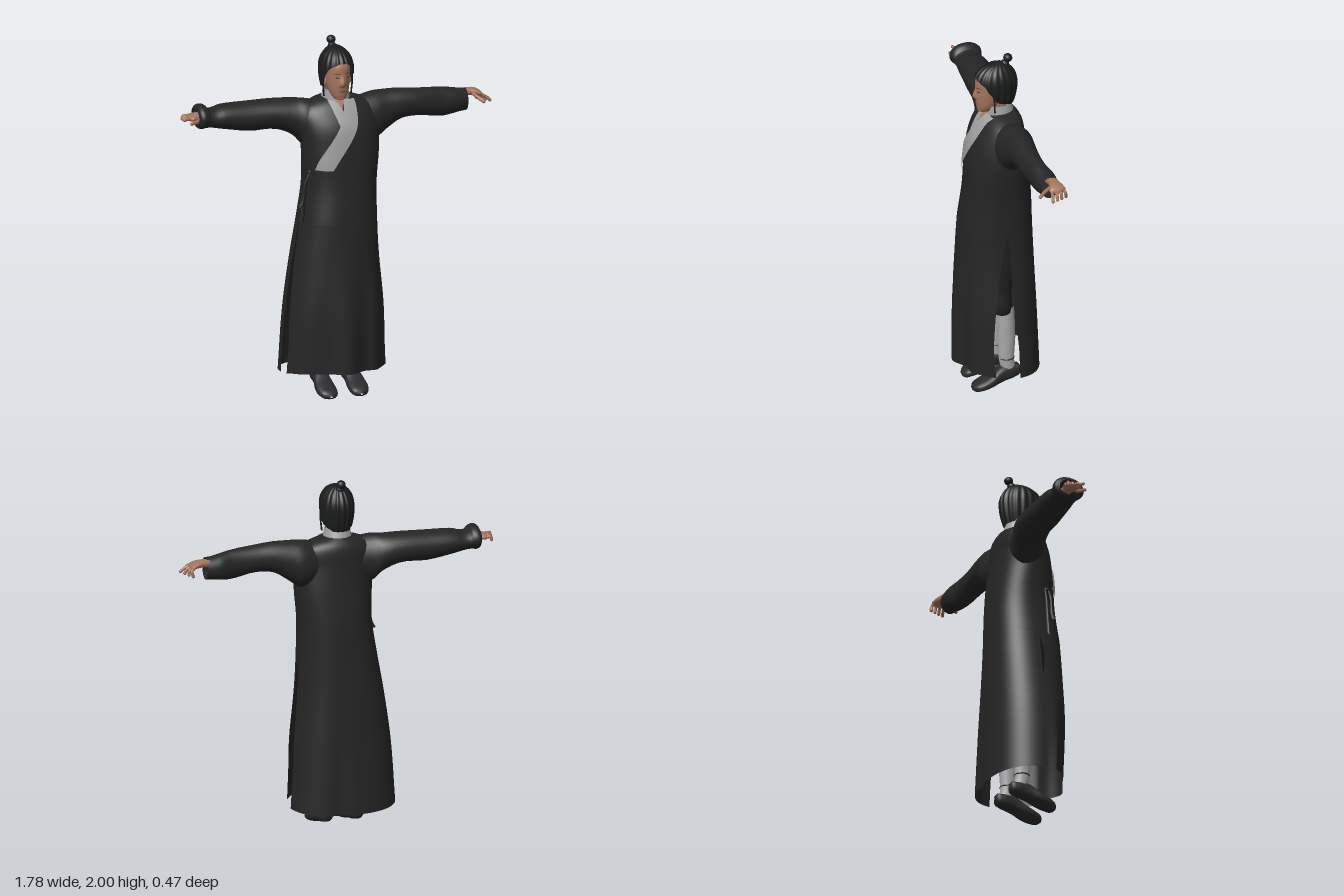
import * as THREE from 'three';
import { mergeVertices } from 'three/addons/utils/BufferGeometryUtils.js';

const mat = (name, color, side = THREE.FrontSide) => {
  const m = new THREE.MeshStandardMaterial({ color, side });
  m.name = name;
  return m;
};
const { sin, cos, abs, sign, PI, max, min, exp, sqrt } = Math;
const { smoothstep } = THREE.MathUtils;

// Smooth surface from a function of u, v in 0..1
function surf(nu, nv, f) {
  const pos = [], idx = [];
  for (let j = 0; j <= nv; j++) for (let i = 0; i <= nu; i++) pos.push(...f(i / nu, j / nv));
  for (let j = 0; j < nv; j++) for (let i = 0; i < nu; i++) {
    const a = j * (nu + 1) + i, b = a + 1, c = a + nu + 1, d = c + 1;
    idx.push(a, b, d, a, d, c);
  }
  let g = new THREE.BufferGeometry();
  g.setAttribute('position', new THREE.Float32BufferAttribute(pos, 3));
  g.setIndex(idx);
  g = mergeVertices(g, 1e-5);
  g.computeVertexNormals();
  return g;
}

// Cubic blend between cross-section rows [p, centre1, radius1, centre2, radius2]
function profile(rows) {
  const it = new THREE.CubicInterpolant(rows.map(r => r[0]), rows.flatMap(r => r.slice(1)), 4, new Float32Array(4));
  return p => it.evaluate(p);
}
const bend = (t, pow) => sign(t) * abs(t) ** (2 / pow);

// Closed tube along an axis; rows run upwards along it
function tube(axis, rows, pow = 2, nu = 28, sub = 4) {
  const at = profile(rows), n = (rows.length - 1) * sub;
  return surf(nu, n, (u, v) => {
    const i = min(rows.length - 2, Math.floor(v * (rows.length - 1) + 1e-9));
    const p = rows[i][0] + (rows[i + 1][0] - rows[i][0]) * (v * (rows.length - 1) - i);
    const [c1, r1, c2, r2] = at(p), a = u * PI * 2;
    const s = c1 + max(r1, 0) * bend(sin(a), pow), t = c2 + max(r2, 0) * bend(cos(a), pow);
    return axis === 'y' ? [s, p, t] : axis === 'x' ? [p, t, s] : [t, s, p];
  });
}

// Thin patch between two edges, laid on the front of a vertical tube
function patch(rows, powAt, edgeA, edgeB, lift) {
  const at = profile(rows);
  const [A, B] = [edgeA, edgeB].map(e => new THREE.CatmullRomCurve3(e.map(p => new THREE.Vector3(...p, 0))));
  return surf(8, 24, (u, v) => {
    const p = A.getPoint(v).lerp(B.getPoint(v), u), [cx, rx, cz, rz] = at(p.y), pow = powAt(p.y);
    const k = min(1, abs((p.x - cx) / rx));
    return [p.x, p.y, cz + rz * (1 - k ** pow) ** (1 / pow) + lift];
  });
}

const ROBE = [
  [0.15, -0.042, 0.302, 0.002, 0.234], [0.5, -0.042, 0.277, 0.004, 0.226], [0.8, -0.035, 0.24, -0.002, 0.208],
  [1.0, -0.022, 0.217, -0.005, 0.195], [1.2, -0.007, 0.203, -0.01, 0.179], [1.4, -0.002, 0.215, -0.007, 0.161],
  [1.53, -0.01, 0.222, -0.012, 0.144], [1.6, -0.015, 0.22, -0.028, 0.124], [1.64, -0.015, 0.185, -0.036, 0.105],
  [1.665, -0.018, 0.12, -0.04, 0.084], [1.68, -0.02, 0.062, -0.042, 0.062]];
const robePow = y => 2.4 - 0.45 * smoothstep(y, 1.3, 1.6);
const HEAD = [
  [1.672, -0.025, 0.005, 0.05, 0.005], [1.678, -0.025, 0.025, 0.05, 0.035], [1.69, -0.025, 0.037, 0.046, 0.046],
  [1.72, -0.025, 0.052, 0.03, 0.068], [1.76, -0.025, 0.062, 0.01, 0.092], [1.82, -0.025, 0.068, -0.005, 0.107],
  [1.87, -0.025, 0.069, -0.01, 0.106], [1.895, -0.025, 0.062, -0.015, 0.092], [1.92, -0.025, 0.04, -0.02, 0.06],
  [1.93, -0.025, 0.01, -0.02, 0.01]];
const headPow = () => 2.2;

// Face with a nose drawn out of the front
function faceGeometry() {
  const g = tube('y', HEAD, headPow(), 72, 6), p = g.attributes.position;
  for (let i = 0; i < p.count; i++) if (p.getZ(i) > 0.04) {
    const y = p.getY(i), w = 0.009 + 0.006 * smoothstep(1.82 - y, 0, 0.05);
    const h = 0.019 * smoothstep(y, 1.75, 1.768) * (1 - smoothstep(y, 1.768, 1.83));
    p.setZ(i, p.getZ(i) + h * exp(-(((p.getX(i) + 0.025) / w) ** 2)));
  }
  g.computeVertexNormals();
  return g;
}

export function createModel() {
  const root = new THREE.Group();
  const D = THREE.DoubleSide;
  const robeM = mat('robe black', 0x252525, D), collarM = mat('collar grey', 0x9d9d9d, D);
  const skin = mat('skin', 0xa4745c, D), hairM = mat('hair', 0x1b1c1c, D);
  const shoeM = mat('shoe charcoal', 0x2a2a2c), legM = mat('legging pale grey', 0xaaaaaa);
  const trouserM = mat('trouser black', 0x212121), lipM = mat('lip', 0x8a5646, D);
  const add = (name, geo, m, parent = root) => {
    const mesh = new THREE.Mesh(geo, m);
    mesh.name = name;
    parent.add(mesh);
    return mesh;
  };
  const ball = (name, r, p, s, m, parent) => {
    const b = add(name, new THREE.SphereGeometry(r, 16, 12), m, parent);
    b.position.set(...p);
    b.scale.set(...s);
  };
  const cord = (name, pts, r, m, parent) => add(name, new THREE.TubeGeometry(
    new THREE.CatmullRomCurve3(pts.map(p => new THREE.Vector3(...p))), 12, r, 8), m, parent);

  // Robe: closed body, then front and back skirt panels with side slits
  const robeAt = profile(ROBE);
  const robePoint = (a, y) => {
    const [cx, rx, cz, rz] = robeAt(y), k = max(0, (1 - y) / 0.85), c = cos(a), pow = robePow(y);
    const x = cx + rx * bend(sin(a), pow);
    let z = cz + rz * bend(c, pow);
    const bump = (m, w) => exp(-(((x - m) / w) ** 2));
    if (c > 0) z += k * min(1, c * 2) * (0.03 * bump(0.14, 0.05) - 0.055 * (1 - bump(-0.03, 0.08)));
    else z += k * min(1, -c * 2) * (0.012 * bump(0.02, 0.04) - 0.006);
    return [x, y + 0.015 * k * c, z];
  };
  add('robeBody', surf(64, 40, (u, v) => robePoint(u * PI * 2, 1 + 0.68 * v)), robeM);
  const panel = (name, mid, gapStart, gapEnd) => add(name, surf(48, 24, (u, v) => {
    const g = min(1, (1 - v) * 1.25);
    const a0 = mid - PI / 2 + gapStart * g, a1 = mid + PI / 2 - gapEnd * g;
    return robePoint(a0 + (a1 - a0) * u, 0.145 + 0.855 * v);
  }), robeM);
  panel('skirtFront', 0, 0.3, 0.46);
  panel('skirtBack', PI, 0.19, 0.02);

  // Sleeves
  add('rightSleeve', tube('x', [
    [-0.805, -0.1, 0.065, 1.61, 0.045], [-0.795, -0.1, 0.085, 1.61, 0.062], [-0.755, -0.1, 0.085, 1.61, 0.064],
    [-0.735, -0.1, 0.078, 1.6, 0.054], [-0.65, -0.1, 0.085, 1.598, 0.068], [-0.5, -0.095, 0.09, 1.588, 0.083],
    [-0.35, -0.085, 0.095, 1.588, 0.085], [-0.25, -0.07, 0.1, 1.564, 0.106], [-0.2, -0.05, 0.1, 1.537, 0.132],
    [-0.1, -0.035, 0.09, 1.54, 0.11]]), robeM);
  add('leftSleeve', tube('x', [
    [0.1, -0.035, 0.09, 1.54, 0.11], [0.2, -0.045, 0.105, 1.537, 0.133], [0.27, -0.045, 0.09, 1.562, 0.111],
    [0.35, -0.04, 0.077, 1.587, 0.086], [0.45, -0.036, 0.068, 1.588, 0.076], [0.6, -0.047, 0.057, 1.571, 0.081],
    [0.66, -0.055, 0.064, 1.568, 0.073], [0.7, -0.058, 0.06, 1.567, 0.066], [0.745, -0.06, 0.05, 1.567, 0.062]]), robeM);

  // Crossed collar and neckline
  add('neckSkin', patch(ROBE, robePow, [[-0.065, 1.678], [-0.025, 1.62]], [[0.015, 1.678], [-0.025, 1.62]], 0.003), skin);
  add('rightLapel', patch(ROBE, robePow, [[-0.045, 1.53], [-0.068, 1.6], [-0.088, 1.668]],
    [[0, 1.57], [-0.022, 1.625], [-0.055, 1.675]], 0.005), collarM);
  add('crossBand', patch(ROBE, robePow, [[-0.185, 1.3], [-0.165, 1.36], [-0.034, 1.57], [0, 1.672]],
    [[-0.1, 1.3], [-0.068, 1.35], [0.048, 1.53], [0.066, 1.664]], 0.0095), collarM);
  add('neckCollar', surf(32, 6, (u, v) => {
    const gap = 0.15 + 0.6 * v, a = gap + (2 * PI - 2 * gap) * u, r = 1 - 0.24 * v;
    return [-0.02 + 0.088 * r * sin(a), 1.635 + 0.085 * v, -0.035 + 0.012 * v + 0.09 * r * cos(a)];
  }), collarM);
  add('neck', tube('y', [[1.6, -0.02, 0.052, -0.03, 0.05], [1.74, -0.025, 0.05, -0.01, 0.055]]), skin);

  // Head and face
  const head = new THREE.Group();
  head.name = 'head';
  root.add(head);
  add('face', faceGeometry(), skin, head);
  for (const s of [-1, 1]) {
    const X = d => -0.025 + s * d;
    add('eye', patch(HEAD, headPow, [[X(0.015), 1.807], [X(0.028), 1.805], [X(0.041), 1.808]],
      [[X(0.015), 1.807], [X(0.028), 1.81], [X(0.041), 1.808]], 0.002), hairM, head);
    add('eyebrow', patch(HEAD, headPow, [[X(0.014), 1.825], [X(0.03), 1.829], [X(0.045), 1.824]],
      [[X(0.014), 1.828], [X(0.03), 1.832], [X(0.045), 1.825]], 0.002), hairM, head);
    ball('ear', 0.022, [X(0.07), 1.77, 0.012], [0.4, 1.1, 0.65], skin, head);
    cord('looseStrand', [[X(0.08), 1.83, 0.035], [X(0.084), 1.76, 0.022], [X(0.078), 1.69, 0.018]], 0.005, hairM, head);
  }
  add('lips', patch(HEAD, headPow, [[-0.045, 1.728], [-0.025, 1.722], [-0.005, 1.728]],
    [[-0.045, 1.728], [-0.025, 1.735], [-0.005, 1.728]], 0.003), lipM, head);

  // Ridged hair drawn up from the hairline, with a topknot
  add('hair', surf(144, 20, (u, v) => {
    const a = u * PI * 2, b = min(a, 2 * PI - a);
    const edge = 1.885 - 0.02 * smoothstep(b, 0.15, 0.75) - 0.123 * smoothstep(b, 0.65, 1.65) - 0.03 * smoothstep(b, 1.6, 2.6);
    const y = edge + (1.96 - edge) * sin(v * PI / 2), d = y - 1.84;
    const f = d > 0 ? sqrt(max(0, 1 - (d / 0.12) ** 2)) : 1 - 0.2 * (d / 0.13) ** 2;
    const r = f * (1 + 0.028 * cos(18 * a));
    return [-0.024 + 0.092 * r * sin(a), y, -0.008 - 0.02 * max(0, d / 0.12) ** 6 + 0.124 * r * cos(a)];
  }), hairM, head);
  ball('topknot', 0.025, [-0.025, 1.976, -0.083], [1, 0.95, 1], hairM, head);
  ball('topknotBase', 0.022, [-0.025, 1.944, -0.065], [1.1, 1, 1.1], hairM, head);

  // Hands: palm, four fingers and thumb
  const hand = (name, palmRows, fingers, thumb) => {
    const g = new THREE.Group();
    g.name = name;
    root.add(g);
    add('palm', tube('x', palmRows, 2.3, 20), skin, g);
    [...fingers, thumb].forEach((pts, i) => {
      const r = i === 4 ? 0.01 : 0.009;
      cord(i === 4 ? 'thumb' : 'finger', pts, r, skin, g);
      ball('fingertip', r, pts[pts.length - 1], [1, 1, 1], skin, g);
    });
  };
  const four = [0, 1, 2, 3];
  hand('leftHand', [[0.7, -0.07, 0.028, 1.597, 0.024], [0.77, -0.075, 0.03, 1.603, 0.021],
    [0.81, -0.075, 0.042, 1.598, 0.018], [0.835, -0.075, 0.038, 1.588, 0.013], [0.842, -0.075, 0.01, 1.586, 0.004]],
    four.map(i => [[0.822, 1.59, -0.107 + i * 0.021], [0.838 + 0.005 * i, 1.575, -0.116 + i * 0.026],
      [0.832 + 0.015 * i, 1.548 + 0.002 * i, -0.122 + i * 0.03]]),
    [[0.785, 1.595, -0.05], [0.8, 1.582, -0.015], [0.822, 1.565, 0.022]]);
  hand('rightHand', [[-0.853, -0.1, 0.01, 1.607, 0.004], [-0.845, -0.1, 0.04, 1.608, 0.013],
    [-0.81, -0.1, 0.044, 1.611, 0.019], [-0.77, -0.1, 0.03, 1.613, 0.022], [-0.7, -0.1, 0.028, 1.61, 0.024]],
    four.map(i => [[-0.835, 1.608, -0.135 + i * 0.022], [-0.86, 1.611, -0.141 + i * 0.025],
      [-0.866 - 0.005 * i, 1.594 + 0.005 * i, -0.142 + i * 0.027]]),
    [[-0.79, 1.605, -0.065], [-0.815, 1.598, -0.045], [-0.848, 1.592, -0.036]]);

  // Hanging side tie
  for (const [dx, z, end] of [[0.003, 0.05, 1.0], [-0.01, 0.07, 1.09]]) {
    add('sideTie', tube('y', [[end, -0.248 + dx, 0.013, z, 0.012], [1.13, -0.232 + dx, 0.01, z, 0.01],
      [1.22, -0.222 + dx, 0.007, z, 0.008], [1.285, -0.2, 0.005, z, 0.006]], 2, 12), robeM);
  }
  ball('tieKnot', 0.013, [-0.203, 1.28, 0.06], [0.8, 1, 1.3], robeM, root);

  // Legs and shoes, heels raised
  for (const [side, x, s] of [['left', 0.065, 1], ['right', -0.11, -1]]) {
    add(side + 'Trouser', tube('y', [[0.46, x, 0.045, -0.02, 0.045], [0.475, x, 0.06, -0.015, 0.054],
      [0.6, x, 0.066, -0.013, 0.056], [0.66, x, 0.072, -0.01, 0.072], [0.8, x, 0.08, -0.01, 0.088],
      [1.05, x, 0.08, -0.01, 0.1]]), trouserM);
    add(side + 'Legging', tube('y', [[0.09, x, 0.034, -0.06, 0.038], [0.16, x, 0.037, -0.045, 0.042],
      [0.3, x, 0.043, -0.045, 0.048], [0.5, x, 0.046, -0.04, 0.045]]), legM);
    const band = add(side + 'AnkleTie', new THREE.TorusGeometry(0.04, 0.004, 8, 24), shoeM);
    band.position.set(x, 0.18, -0.045);
    band.rotation.x = PI / 2;
    add(side + 'Shoe', tube('z', [[-0.123, 0.1, 0.004, x, 0.004], [-0.117, 0.099, 0.024, x, 0.022],
      [-0.09, 0.094, 0.036, x, 0.038], [-0.04, 0.09, 0.046, x, 0.042], [0, 0.08, 0.046, x + s * 0.002, 0.045],
      [0.05, 0.055, 0.036, x + s * 0.004, 0.054], [0.11, 0.035, 0.027, x + s * 0.003, 0.053],
      [0.145, 0.024, 0.018, x, 0.034], [0.157, 0.02, 0.004, x, 0.006]], 2.5), shoeM);
  }
  return root;
}
